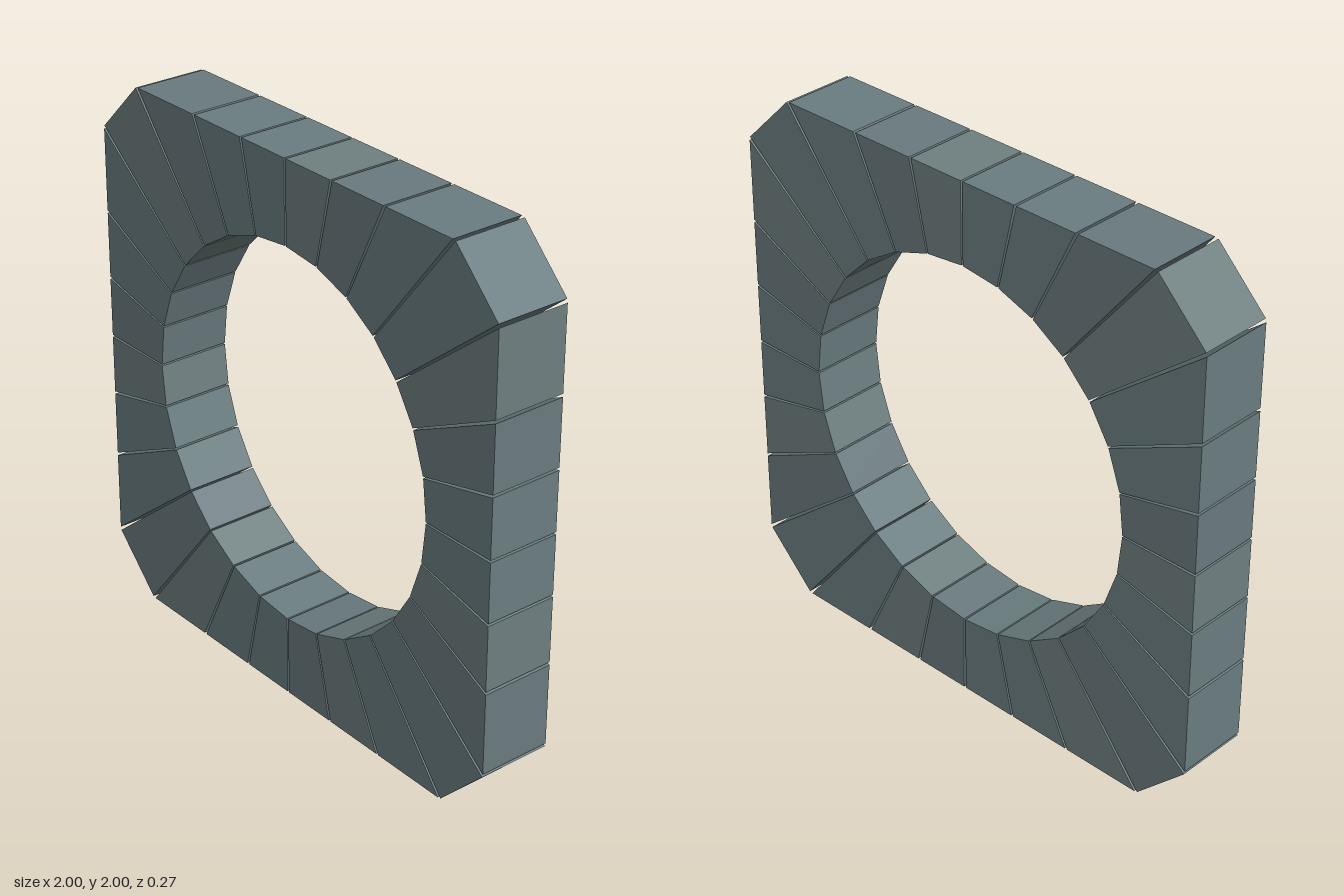
import * as THREE from 'three';

const COUNT = 28, INNER = 0.7, DEPTH = 0.274, GAP = 0.009, CHAMFER = 1.8;

// Distance from the centre to the chamfered square along an angle
function outerRadius(a) {
  const c = Math.abs(Math.cos(a)), s = Math.abs(Math.sin(a));
  return Math.min(1 / Math.max(c, s), CHAMFER / (c + s));
}

const polar = (r, a) => new THREE.Vector2(r * Math.cos(a), r * Math.sin(a));

export function createModel() {
  const group = new THREE.Group();
  group.name = 'stoneRing';

  // Slightly different greys so neighbouring stones read as separate blocks
  const materials = [0x6b7d81, 0x6f7f80, 0x6a7a7f].map(
    (color) => new THREE.MeshStandardMaterial({ color, flatShading: true }));

  // Wedge stones: straight inner chord, outer edge on the chamfered square
  const step = (Math.PI * 2) / COUNT;
  for (let i = 0; i < COUNT; i++) {
    const a = i * step + GAP / 2, b = (i + 1) * step - GAP / 2;
    const shape = new THREE.Shape([
      polar(INNER, a), polar(outerRadius(a), a),
      polar(outerRadius(b), b), polar(INNER, b),
    ]);
    const geometry = new THREE.ExtrudeGeometry(shape, { depth: DEPTH, bevelEnabled: false });
    geometry.translate(0, 1, -DEPTH / 2);
    const stone = new THREE.Mesh(geometry, materials[(i * 5 + (i >> 2)) % 3]);
    stone.name = `wedgeStone${i + 1}`;
    group.add(stone);
  }
  return group;
}
